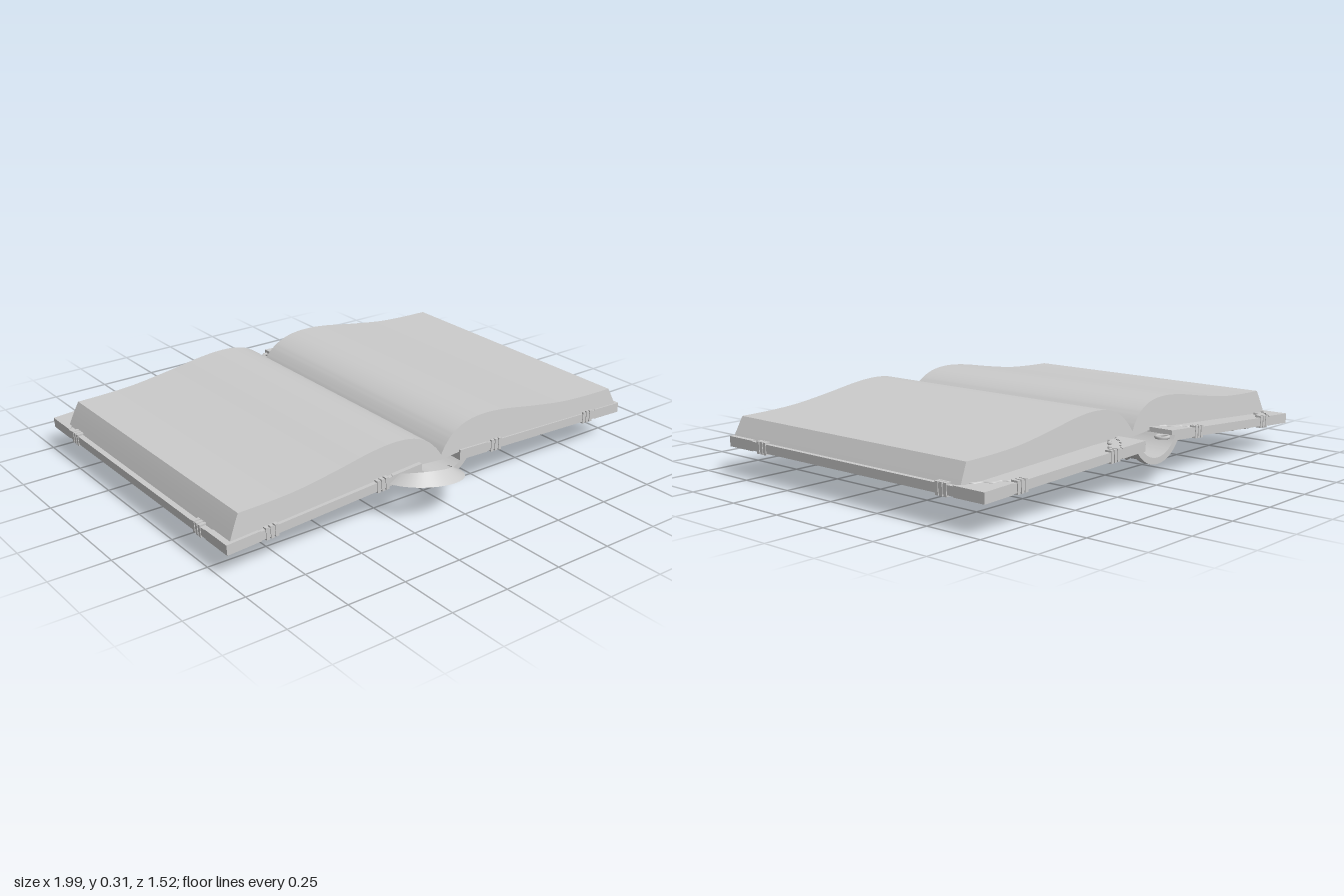
import * as THREE from 'three';
import { toCreasedNormals } from 'three/addons/utils/BufferGeometryUtils.js';

const smooth = new THREE.MeshStandardMaterial({ color: 0xcccccc });
const faceted = new THREE.MeshStandardMaterial({ color: 0xcccccc, flatShading: true });
const V = (x, y, z) => new THREE.Vector3(x, y, z);
const P = (x, y) => new THREE.Vector2(x, y);

function add(parent, name, geo, mat = smooth) {
  const mesh = new THREE.Mesh(geo, mat);
  mesh.name = name;
  parent.add(mesh);
  return mesh;
}

function extrude(shape, depth, curveSegments = 8) {
  return new THREE.ExtrudeGeometry(shape, { depth, bevelEnabled: false, curveSegments });
}

// flat plate lying in XZ, centred on y = 0
function plate(shape, thickness) {
  return extrude(shape, thickness).translate(0, 0, -thickness / 2).rotateX(Math.PI / 2);
}

function tube(points, radius, segments = 24) {
  return new THREE.TubeGeometry(new THREE.CatmullRomCurve3(points), segments, radius, 6);
}

// swelling page block, slightly shorter in z towards the top
function pageBlock(s, outer, edgeTop, bottom) {
  const shape = new THREE.Shape();
  shape.moveTo(0, 0.2);
  shape.splineThru([[0.025, 0.235], [0.07, 0.275], [0.14, 0.303], [0.23, 0.311], [0.34, 0.302],
    [0.5, 0.275], [0.66, 0.252], [0.8, 0.243], [edgeTop, 0.24]].map(([x, y]) => P(s * x, y)));
  shape.quadraticCurveTo(s * (edgeTop + 0.02), 0.2, s * outer, bottom);
  shape.lineTo(s * 0.25, 0.186);
  shape.lineTo(s * 0.1, 0.188);
  shape.lineTo(0, 0.18);
  const geo = extrude(shape, 1, 5);
  const p = geo.attributes.position;
  for (let i = 0; i < p.count; i++) {
    const t = (p.getY(i) - 0.14) / 0.17;
    p.setZ(i, -0.015 + (p.getZ(i) - 0.5) * (1.245 - 0.035 * t));
  }
  return toCreasedNormals(geo, 0.5);
}

// cover board with rim, corner brackets, edge clasps and scroll trim
function cover(name, w, d) {
  const g = new THREE.Group();
  g.name = name;
  const hw = w / 2, hd = d / 2;
  add(g, 'coverBoard', new THREE.BoxGeometry(w - 0.02, 0.024, d - 0.02));

  const rect = (C, x, z) => new C([P(-x, -z), P(x, -z), P(x, z), P(-x, z)]);
  const rim = rect(THREE.Shape, hw, hd);
  rim.holes.push(rect(THREE.Path, hw - 0.025, hd - 0.025));
  add(g, 'coverRim', plate(rim, 0.036));

  const half = [[0.2, 0], [0.19, 0.022], [0.165, 0.034], [0.15, 0.06], [0.115, 0.068], [0.1, 0.1]];
  const outline = [...half, ...half.slice(0, -1).reverse().map(([x, z]) => [z, x])];
  for (const sx of [-1, 1]) for (const sz of [-1, 1]) {
    const at = (x, z) => [sx * (hw - x), sz * (hd - z)];
    [[1, 0.034], [0.72, 0.042]].forEach(([k, t]) => {
      const pts = [[0, 0], ...outline].map(([x, z]) => P(...at(x * k, z * k)));
      add(g, 'cornerBracket', plate(new THREE.Shape(pts), t));
    });
    for (const y of [-0.018, 0.016]) {
      const pts = outline.map(([x, z]) => { const q = at(x, z); return V(q[0], y, q[1]); });
      add(g, 'bracketEdge', tube(pts, 0.006, 30));
    }
  }

  // wavy scrolls on the outer face with small leaves
  const scroll = (len, place) => {
    const pts = [];
    for (let i = 0; i <= 20; i++) {
      const u = (i / 20 - 0.5) * len;
      pts.push(place(u, 0.03 + 0.016 * Math.sin(i * 1.25)));
      if (i % 4 === 2) {
        const leaf = add(g, 'trimLeaf', new THREE.OctahedronGeometry(0.02), faceted);
        leaf.scale.set(1.2, 0.5, 1);
        leaf.position.copy(place(u, 0.048));
      }
    }
    add(g, 'trimScroll', tube(pts, 0.007, 60));
  };
  for (const s of [-1, 1]) {
    scroll(w - 0.4, (u, o) => V(u, -0.017, s * (hd - o)));
    scroll(d - 0.4, (u, o) => V(s * (hw - o), -0.017, u));
    for (const e of [-1, 1]) for (const o of [-0.02, 0, 0.02]) {
      const a = add(g, 'edgeClasp', new THREE.BoxGeometry(0.014, 0.05, 0.03));
      a.position.set(e * (hw - 0.19) + o, 0, s * (hd - 0.012));
      const b = add(g, 'edgeClasp', new THREE.BoxGeometry(0.03, 0.05, 0.014));
      b.position.set(s * (hw - 0.012), 0, e * (hd - 0.2) + o);
    }
  }
  return g;
}

// curved shell of the spine, centre (0.005, 0.25)
function spineArc(rIn, rOut, depth, half = 1.06) {
  const a = -Math.PI / 2 - half, b = -Math.PI / 2 + half;
  const shape = new THREE.Shape();
  shape.absarc(0, 0, rOut, a, b, false);
  shape.absarc(0, 0, rIn, b, a, true);
  return toCreasedNormals(extrude(shape, depth, 20).translate(0.005, 0.25, -depth / 2), 0.6);
}

// faceted flattened spike between two points
function spike(parent, from, to, radius, name = 'crestSpike') {
  const dir = to.clone().sub(from), len = dir.length();
  const m = add(parent, name, new THREE.ConeGeometry(radius, len, 5).translate(0, len / 2, 0), faceted);
  m.quaternion.setFromUnitVectors(V(0, 1, 0), dir.normalize());
  m.position.copy(from);
}

function createCrest() {
  const g = new THREE.Group();
  g.name = 'crest';
  // craggy mass rising from the cover to an off-centre ridge
  const geo = new THREE.ConeGeometry(1, 1, 11, 4);
  const p = geo.attributes.position;
  for (let i = 0; i < p.count; i++) {
    const x = p.getX(i), z = p.getZ(i), t = p.getY(i) + 0.5;
    const j = 1 + 0.13 * Math.sin(Math.round(x * 50) * 1.7 + Math.round(z * 50) * 2.3);
    const widen = 1 + 0.5 * t * (1 - t);
    p.setXYZ(i, 0.5 + x * 0.25 * j * widen, 0.16 - 0.135 * t, 0.02 - 0.04 * t + z * 0.23 * j * widen);
  }
  // the flip in y reverses the corners, so restore the winding
  const idx = geo.index.array;
  for (let i = 0; i < idx.length; i += 3) [idx[i], idx[i + 1]] = [idx[i + 1], idx[i]];
  add(g, 'crestBody', geo, faceted);

  spike(g, V(0.49, 0.06, 0.08), V(0.51, 0.005, -0.12), 0.045);
  for (let i = 0; i < 7; i++) {
    const u = i / 3 - 1, rise = 0.06 * Math.abs(u);
    spike(g, V(0.5 + u * 0.13, 0.085 + rise * 0.6, -0.05), V(0.5 + u * 0.2, 0.075 + rise, -0.27 + 0.08 * Math.abs(u)), 0.028, 'crestHorn');
    spike(g, V(0.5 + u * 0.12, 0.07 + rise, 0.13), V(0.5 + u * 0.17, 0.055 + rise, -0.09 - 0.03 * (i % 2)), 0.035);
  }
  for (const s of [-1, 1]) for (let i = 0; i < 5; i++) {
    const z = 0.16 - i * 0.08;
    spike(g, V(0.5 + s * 0.1, 0.1, z), V(0.5 + s * (0.29 - 0.02 * i), 0.14, z - 0.07), 0.035, 'crestFin');
  }
  return g;
}

// flat curved ribbon looping out below the front edge
function ribbon() {
  const pos = [], idx = [], n = 24;
  for (let i = 0; i <= n; i++) {
    const a = Math.PI * i / n, c = Math.cos(a), s = Math.sin(a), tilt = -0.02 * c;
    pos.push(-0.095 + 0.175 * c, 0.14 + 0.02 * s + tilt, 0.6 + 0.155 * s);
    pos.push(-0.095 + 0.125 * c, 0.165 + 0.035 * s + tilt, 0.6 + 0.1 * s);
    if (i < n) idx.push(2 * i, 2 * i + 1, 2 * i + 2, 2 * i + 1, 2 * i + 3, 2 * i + 2);
  }
  const geo = new THREE.BufferGeometry();
  geo.setAttribute('position', new THREE.Float32BufferAttribute(pos, 3));
  geo.setIndex(idx);
  geo.computeVertexNormals();
  return geo;
}

export function createModel() {
  const book = new THREE.Group();
  book.name = 'openBook';

  add(book, 'rightPages', pageBlock(-1, 0.97, 0.925, 0.138));
  add(book, 'leftPages', pageBlock(1, 0.975, 0.935, 0.158));

  const right = cover('rightCover', 0.88, 1.36);
  right.position.set(-0.55, 0.152, -0.06);
  right.rotation.z = 0.066;
  const left = cover('leftCover', 0.9, 1.37);
  left.position.set(0.54, 0.16, -0.075);
  left.rotation.z = -0.034;
  book.add(right, left);

  // spine shell, raised bands and crossed cords
  add(book, 'spine', spineArc(0.134, 0.15, 1.36)).position.z = -0.075;
  const bands = [-0.74, -0.46, -0.2, 0.06, 0.32, 0.59];
  bands.forEach((z, i) => {
    add(book, 'spineBand', spineArc(0.14, 0.16, 0.03)).position.z = z;
    if (i === bands.length - 1) return;
    for (const s of [-1, 1]) {
      const pts = [];
      for (let k = 0; k <= 8; k++) {
        const a = -Math.PI / 2 + s * (k / 4 - 1);
        pts.push(V(0.005 + 0.152 * Math.cos(a), 0.25 + 0.152 * Math.sin(a), z + (bands[i + 1] - z) * k / 8));
      }
      add(book, 'spineCord', tube(pts, 0.008));
    }
  });

  // curled head cap and clasp plate on the spine
  for (const s of [-1, 1]) {
    add(book, 'headCurl', new THREE.TorusGeometry(0.025, 0.007, 6, 16).rotateX(Math.PI / 2)).position.set(0.005 + s * 0.08, 0.18, -0.72);
  }
  const clasp = add(book, 'claspPlate', new THREE.CylinderGeometry(0.1, 0.1, 0.014, 16));
  clasp.scale.set(0.9, 1, 0.5);
  clasp.position.set(-0.08, 0.107, -0.05);
  add(book, 'claspPin', new THREE.CylinderGeometry(0.007, 0.007, 0.16, 8).rotateZ(Math.PI / 2)).position.set(0.06, 0.096, -0.05);

  book.add(createCrest());
  const ribbonMat = smooth.clone();
  ribbonMat.side = THREE.DoubleSide;
  add(book, 'ribbon', ribbon(), ribbonMat);
  return book;
}
